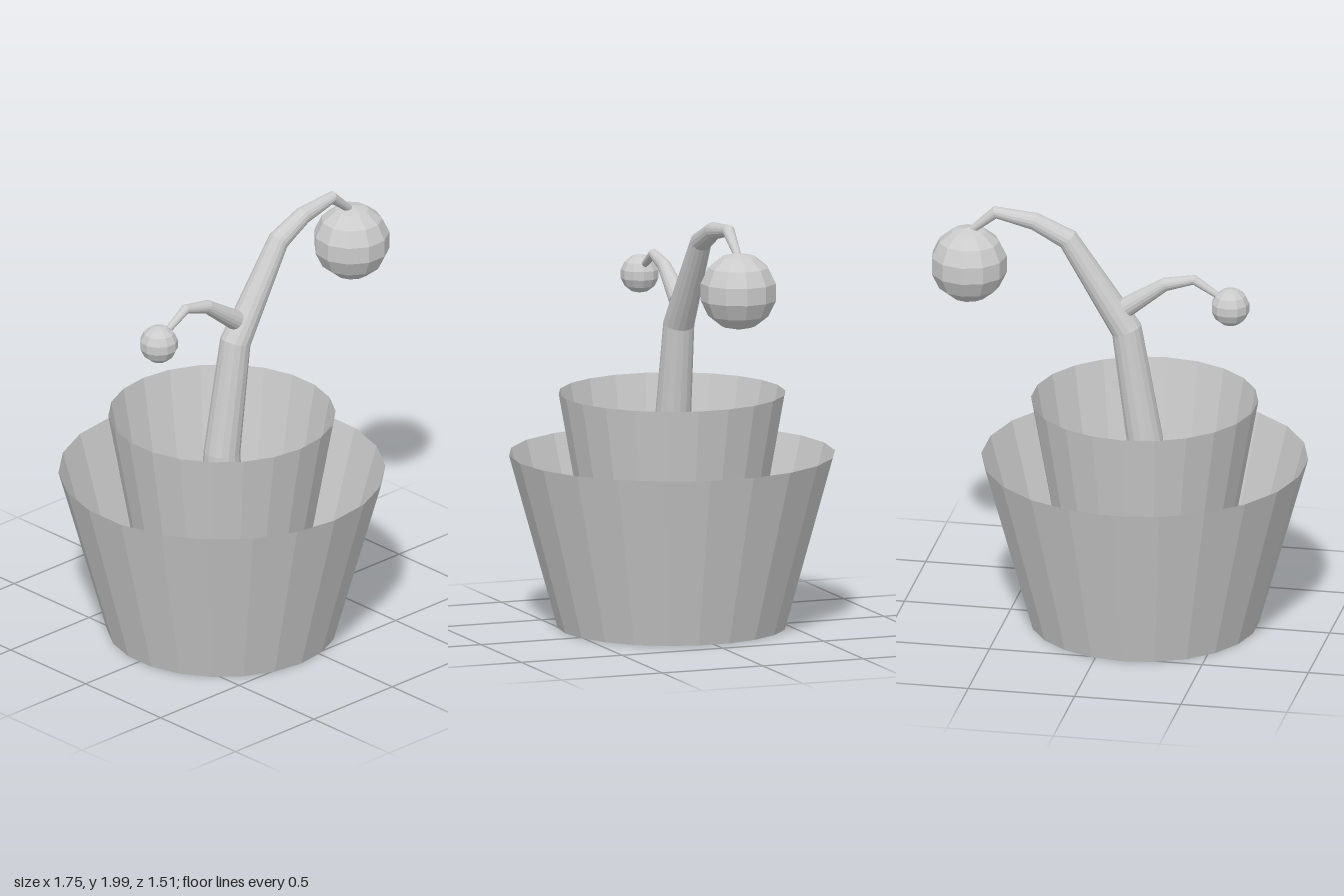
import * as THREE from 'three';

const material = new THREE.MeshStandardMaterial({
  color: 0xcccccc, flatShading: true, side: THREE.DoubleSide,
});
const POT_X = -0.13;

function addMesh(group, name, geometry) {
  const mesh = new THREE.Mesh(geometry, material);
  mesh.name = name;
  group.add(mesh);
  return mesh;
}

// Open tapered wall standing on the ground
function pot(topRadius, bottomRadius, height) {
  return new THREE.CylinderGeometry(topRadius, bottomRadius, height, 22, 1, true)
    .translate(POT_X, height / 2, 0);
}

// Faceted ball with one column edge facing the back
function ball(radius, x, y) {
  return new THREE.SphereGeometry(radius, 11, 7).rotateY(-Math.PI / 2).translate(x, y, 0);
}

// Tapered limb through [x, y, radius] points, with mitred joints
function limb(points, sides = 16, capStart = false) {
  const centres = points.map(([x, y]) => new THREE.Vector2(x, y));
  const direction = (i) => centres[i + 1].clone().sub(centres[i]).normalize();
  const last = points.length - 1;
  const positions = [];
  const index = [];
  points.forEach(([x, y, r], i) => {
    const t = direction(Math.min(i, last - 1));
    if (i > 0 && i < last) t.add(direction(i - 1)).normalize();
    for (let j = 0; j < sides; j++) {
      const a = (j / sides) * Math.PI * 2;
      const c = r * Math.cos(a);
      positions.push(x - t.y * c, y + t.x * c, r * Math.sin(a));
    }
  });
  for (let i = 0; i < last; i++) {
    for (let j = 0; j < sides; j++) {
      const k = (j + 1) % sides;
      const a = i * sides + j, b = i * sides + k;
      index.push(a, b, b + sides, a, b + sides, a + sides);
    }
  }
  if (capStart) for (let j = 1; j < sides - 1; j++) index.push(0, j + 1, j);
  const geometry = new THREE.BufferGeometry();
  geometry.setAttribute('position', new THREE.Float32BufferAttribute(positions, 3));
  geometry.setIndex(index);
  geometry.computeVertexNormals();
  return geometry;
}

export function createModel() {
  const model = new THREE.Group();
  model.name = 'pottedPlant';

  // Nested pots, both open at top and bottom
  addMesh(model, 'outerPot', pot(0.755, 0.53, 0.81));
  addMesh(model, 'innerPot', pot(0.525, 0.33, 1.095));

  // Main stem, flared at the hollow foot and drooping at the tip
  addMesh(model, 'stem', limb([
    [POT_X, 0.09, 0.125],
    [POT_X, 0.9, 0.085],
    [-0.045, 1.433, 0.072],
    [0.23, 1.86, 0.05],
    [0.387, 1.937, 0.041],
    [0.573, 1.967, 0.029],
    [0.68, 1.875, 0.018],
  ]));

  // Side branch
  addMesh(model, 'branch', limb([
    [-0.045, 1.545, 0.047],
    [-0.225, 1.672, 0.032],
    [-0.363, 1.705, 0.023],
    [-0.48, 1.632, 0.015],
  ], 16, true));

  // Hanging balls
  addMesh(model, 'largeBall', ball(0.18, 0.697, 1.705));
  addMesh(model, 'smallBall', ball(0.09, -0.533, 1.585));

  return model;
}
